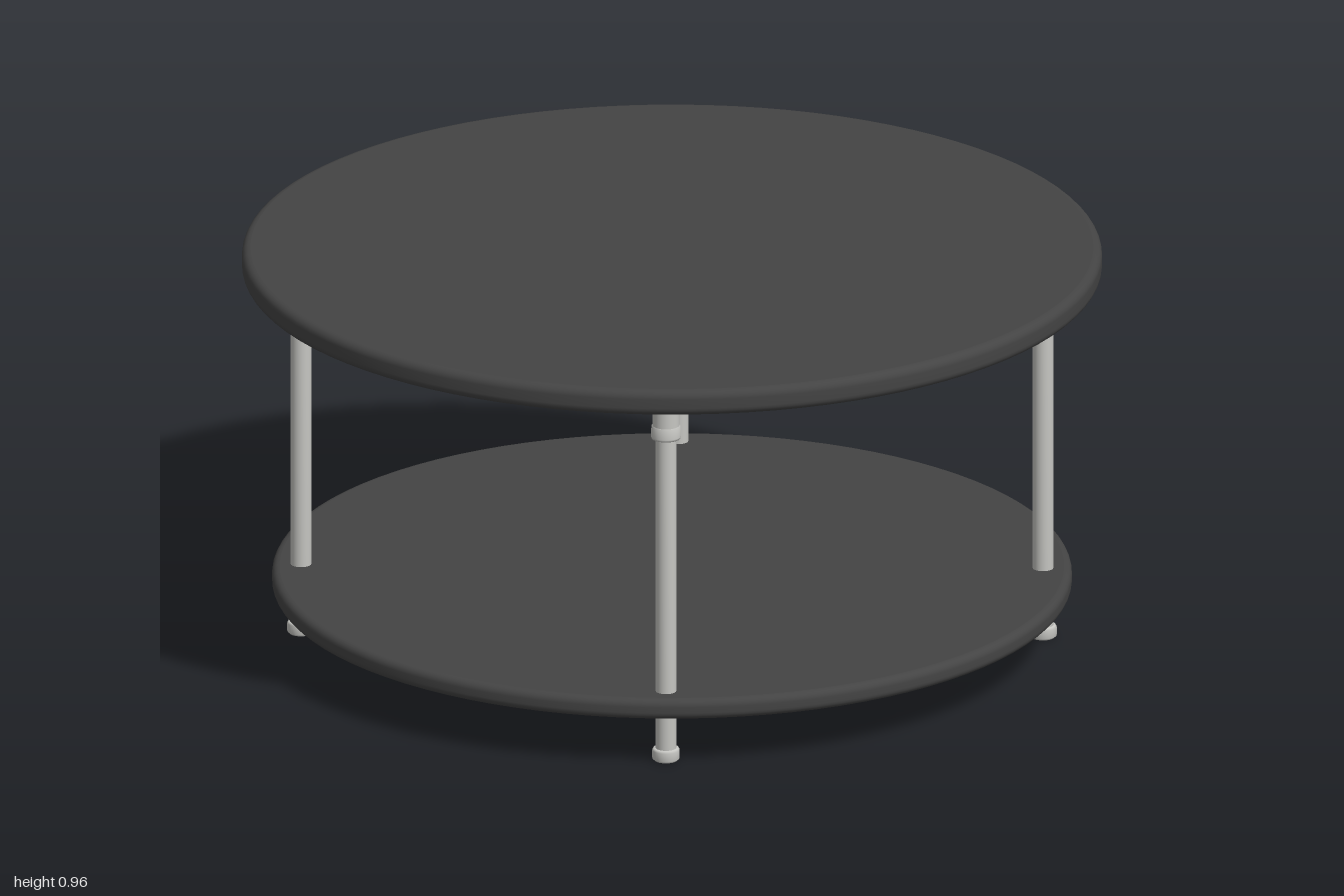
import * as THREE from 'three';

// Lathe from [radius, y] pairs, listed bottom to top
function lathe(name, points, material, segments) {
  const profile = points.map(([r, y]) => new THREE.Vector2(r, y));
  const mesh = new THREE.Mesh(new THREE.LatheGeometry(profile, segments), material);
  mesh.name = name;
  return mesh;
}

// Round board with flat faces and softened rim
function board(name, radius, y0, y1, round, material) {
  const group = new THREE.Group();
  group.name = name;
  const inner = radius - round;
  const rim = [];
  const steps = 5;
  for (let i = 0; i <= steps; i++) {
    const a = (i / steps) * Math.PI / 2;
    rim.push([inner + round * Math.sin(a), y0 + round - round * Math.cos(a)]);
  }
  for (let i = 0; i <= steps; i++) {
    const a = (i / steps) * Math.PI / 2;
    rim.push([inner + round * Math.cos(a), y1 - round + round * Math.sin(a)]);
  }
  group.add(lathe(name + 'Rim', rim, material, 96));
  for (const [label, y, turn] of [['Upper', y1, -1], ['Under', y0, 1]]) {
    const face = new THREE.Mesh(new THREE.CircleGeometry(inner, 96), material);
    face.name = name + label + 'Face';
    face.rotation.x = turn * Math.PI / 2;
    face.position.y = y;
    group.add(face);
  }
  return group;
}

export function createModel() {
  const darkBoard = new THREE.MeshStandardMaterial({ color: 0x444444 });
  darkBoard.name = 'charcoal board';
  const metal = new THREE.MeshStandardMaterial({ color: 0xc6c6c2 });
  metal.name = 'brushed metal';

  const table = new THREE.Group();
  table.name = 'roundTable';
  table.add(board('tableTop', 1, 0.895, 0.957, 0.02, darkBoard));
  table.add(board('lowerShelf', 0.93, 0.12, 0.17, 0.018, darkBoard));

  // Four legs, each a tube with a foot and a mounting collar
  for (const x of [-0.61, 0.61]) {
    for (const z of [-0.61, 0.61]) {
      const leg = new THREE.Group();
      leg.name = (z > 0 ? 'front' : 'back') + (x > 0 ? 'Left' : 'Right') + 'Leg';
      leg.position.set(x, 0, z);
      leg.add(lathe('tube', [[0, 0.01], [0.024, 0.01], [0.024, 0.81]], metal, 32));
      leg.add(lathe('foot', [[0, 0], [0.027, 0], [0.032, 0.005], [0.032, 0.025],
        [0.029, 0.03], [0.02, 0.03]], metal, 32));
      leg.add(lathe('collarLip', [[0.02, 0.795], [0.034, 0.795], [0.035, 0.8],
        [0.034, 0.825], [0.028, 0.827]], metal, 32));
      const collar = new THREE.Mesh(
        new THREE.CylinderGeometry(0.031, 0.031, 0.09, 32, 1, true), metal);
      collar.name = 'collar';
      collar.position.y = 0.855;
      leg.add(collar);
      table.add(leg);
    }
  }
  return table;
}
